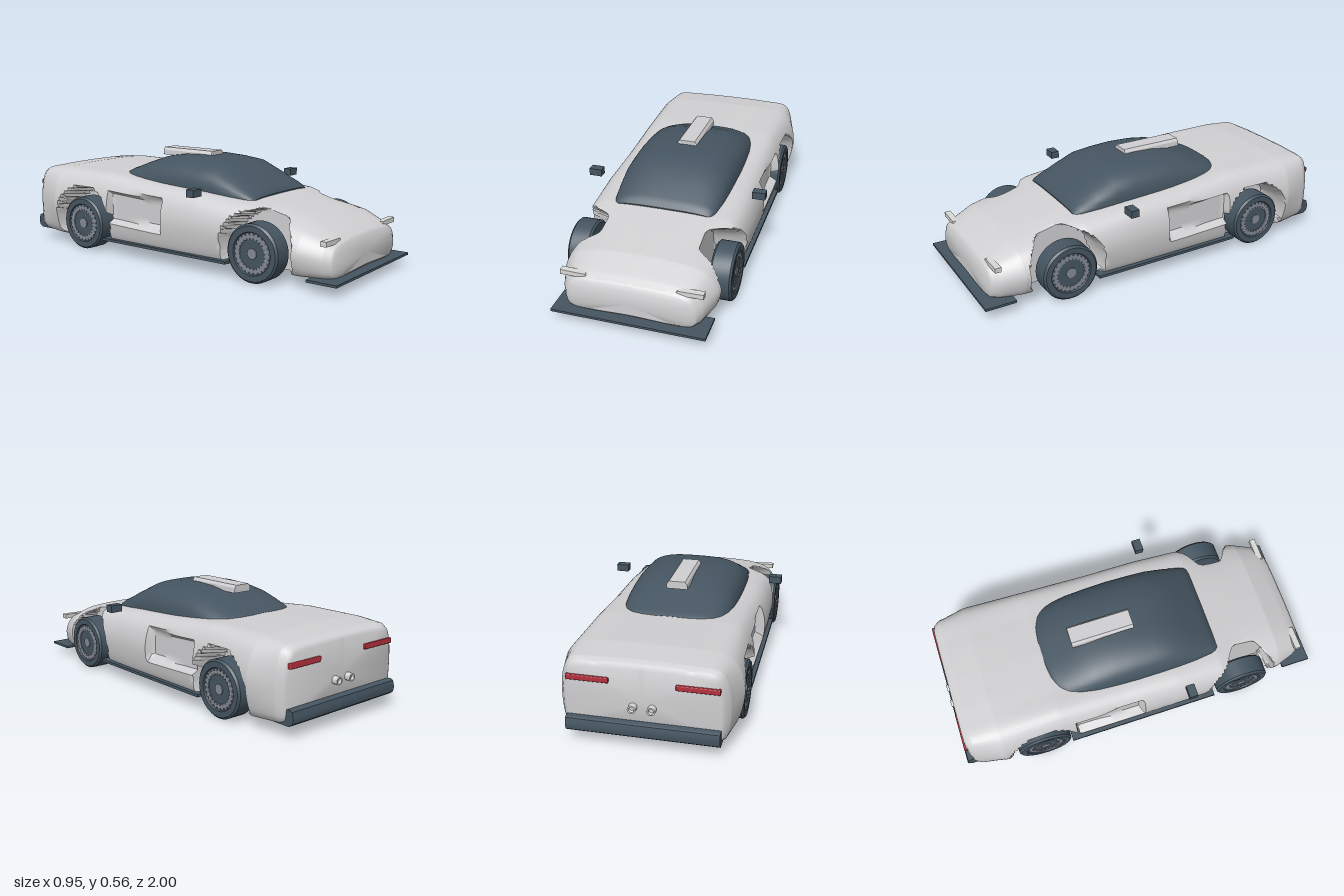
import * as THREE from 'three';
import { toCreasedNormals } from 'three/addons/utils/BufferGeometryUtils.js';
import { RoundedBoxGeometry } from 'three/addons/geometries/RoundedBoxGeometry.js';

const material = (name, color) => Object.assign(new THREE.MeshStandardMaterial({ color }), { name });
const WHEEL_Z = [0.565, -0.57];
const WHEEL_R = 0.145;

// closed skin over rings of equal size, listed front to back, each counter-clockwise from the front
function loft(rings, crease) {
  const n = rings[0].length, pos = [], idx = [];
  rings.forEach(r => r.forEach(p => pos.push(p.x, p.y, p.z)));
  for (let i = 0; i < rings.length - 1; i++) {
    for (let j = 0; j < n; j++) {
      const a = i * n + j, b = i * n + (j + 1) % n;
      idx.push(a, a + n, b, b, a + n, b + n);
    }
  }
  [0, rings.length - 1].forEach((ri, end) => {
    const c = new THREE.Vector3();
    rings[ri].forEach(p => c.addScaledVector(p, 1 / n));
    const ci = pos.length / 3;
    pos.push(c.x, c.y, c.z);
    for (let j = 0; j < n; j++) {
      const a = ri * n + j, b = ri * n + (j + 1) % n;
      if (end) idx.push(ci, b, a); else idx.push(ci, a, b);
    }
  });
  const g = new THREE.BufferGeometry();
  g.setAttribute('position', new THREE.Float32BufferAttribute(pos, 3));
  g.setIndex(idx);
  return toCreasedNormals(g, crease);
}

// linear lookup in rows that begin with a falling z
function rowAt(rows, z) {
  let i = 0;
  while (i < rows.length - 2 && z < rows[i + 1][0]) i++;
  const t = THREE.MathUtils.clamp((rows[i][0] - z) / (rows[i][0] - rows[i + 1][0]), 0, 1);
  return rows[i].map((v, k) => THREE.MathUtils.lerp(v, rows[i + 1][k], t));
}

// z, bottom y, sill half width, widest half width and its y, shoulder x and y, centre top y
const BODY = [
  [0.955, 0.075, 0.28, 0.29, 0.13, 0.23, 0.19, 0.205],
  [0.94, 0.06, 0.31, 0.32, 0.14, 0.25, 0.215, 0.23],
  [0.90, 0.055, 0.33, 0.345, 0.15, 0.25, 0.24, 0.255],
  [0.79, 0.055, 0.36, 0.385, 0.17, 0.25, 0.29, 0.305],
  [0.62, 0.055, 0.37, 0.405, 0.20, 0.28, 0.315, 0.338],
  [0.45, 0.055, 0.385, 0.415, 0.22, 0.335, 0.35, 0.37],
  [0.2, 0.055, 0.39, 0.42, 0.23, 0.345, 0.375, 0.388],
  [-0.1, 0.055, 0.39, 0.42, 0.23, 0.345, 0.39, 0.405],
  [-0.45, 0.055, 0.39, 0.42, 0.24, 0.345, 0.42, 0.432],
  [-0.78, 0.055, 0.395, 0.435, 0.24, 0.35, 0.42, 0.44],
  [-0.92, 0.06, 0.375, 0.395, 0.24, 0.345, 0.41, 0.428],
  [-0.95, 0.065, 0.36, 0.375, 0.24, 0.335, 0.395, 0.415],
  [-0.96, 0.08, 0.345, 0.36, 0.24, 0.32, 0.375, 0.395],
];

function bodyGeometry() {
  const step = THREE.MathUtils.smoothstep, lerp = THREE.MathUtils.lerp;
  const zs = new Set(BODY.map(r => r[0]));
  for (let i = 0; i <= 160; i++) zs.add(0.955 - 1.915 * i / 160);
  const rings = [...zs].sort((a, b) => b - a).map(z => {
    const [, b, wb, wm, ym, sx, sy, t] = rowAt(BODY, z);
    const half = new THREE.CatmullRomCurve3([
      [0, b], [wb - 0.03, b], [wb, b + 0.018], [wm, ym],
      [lerp(sx, wm, 0.62), lerp(ym, sy, 0.72)], [sx, sy], [sx * 0.6, t - 0.004], [0, t],
    ].map(([x, y]) => new THREE.Vector3(x, y, z))).getSpacedPoints(56);
    half.forEach(p => {
      // wheel arches
      WHEEL_Z.forEach(wz => {
        const k = step(Math.hypot(z - wz, p.y - 0.15), 0.183, 0.199);
        p.x = lerp(Math.min(p.x, 0.25), p.x, k);
      });
      // side intake
      const inside = Math.min(step(z, -0.385, -0.37) * (1 - step(z, -0.02, -0.005)),
        step(p.y, 0.17, 0.185) * (1 - step(p.y, 0.325, 0.34)));
      p.x = lerp(p.x, Math.min(p.x, 0.37), inside);
    });
    const mirrored = half.slice(1, -1).reverse().map(p => new THREE.Vector3(-p.x, p.y, z));
    return [...half, ...mirrored];
  });
  return loft(rings, 0.75);
}

// z, half width, top y
const CANOPY = [
  [0.46, 0.245, 0.374], [0.445, 0.256, 0.395], [0.42, 0.265, 0.412], [0.32, 0.278, 0.468], [0.22, 0.285, 0.518],
  [0.12, 0.288, 0.53], [0, 0.29, 0.536], [-0.12, 0.288, 0.531], [-0.22, 0.285, 0.515],
  [-0.3, 0.278, 0.488], [-0.37, 0.268, 0.46], [-0.41, 0.25, 0.447], [-0.435, 0.22, 0.438], [-0.445, 0.19, 0.432],
];

function canopyGeometry() {
  const base = 0.35, n = 48;
  const rings = CANOPY.map(([z, w, t]) => {
    const ring = [];
    for (let i = 0; i <= n; i++) {
      const a = Math.PI * i / n, c = Math.cos(a), s = Math.max(Math.sin(a), 0);
      ring.push(new THREE.Vector3(w * Math.sign(c) * Math.abs(c) ** 0.66, base + (t - base) * s ** 0.66, z));
    }
    return ring;
  });
  return loft(rings, 0.6);
}

// extruded outline, corners given as [x, y]
function prism(points, depth) {
  const shape = new THREE.Shape(points.map(p => new THREE.Vector2(...p)));
  return new THREE.ExtrudeGeometry(shape, { depth, bevelEnabled: false });
}

export function createModel() {
  const car = new THREE.Group();
  car.name = 'sportsCar';
  const paint = material('silver paint', 0xd0d0d2);
  const dark = material('dark slate', 0x455561);
  const rimGrey = material('rim grey', 0x858a94);
  const red = material('tail light red', 0xb5303c);
  const lamp = material('lamp white', 0xd8d8d6);

  const add = (name, geometry, mat, x = 0, y = 0, z = 0, parent = car) => {
    const m = new THREE.Mesh(geometry, mat);
    m.name = name;
    m.position.set(x, y, z);
    parent.add(m);
    return m;
  };

  add('body', bodyGeometry(), paint);
  add('canopy', canopyGeometry(), dark);
  add('frontSplitter', new THREE.BoxGeometry(0.76, 0.012, 0.16), dark, 0, 0.054, 0.92);

  // roof scoop, wider at its foot
  add('roofScoop', prism([[-0.055, 0.515], [0.055, 0.515], [0.053, 0.541], [0.042, 0.555], [-0.042, 0.555], [-0.053, 0.541]], 0.335),
    paint, 0, 0, -0.287);

  // rear bumper, profile in depth and height, swept across the width
  const bumper = prism([[0.87, 0.06], [0.975, 0.06], [0.995, 0.075], [1, 0.1], [0.992, 0.132], [0.98, 0.138], [0.9, 0.138]], 0.72);
  bumper.translate(0, 0, -0.36).rotateY(Math.PI / 2);
  add('rearBumper', toCreasedNormals(bumper, 0.7), dark);

  // tyre section turned about the axle
  const tyre = toCreasedNormals(new THREE.LatheGeometry([
    [0, -0.055], [0.135, -0.055], [WHEEL_R, -0.045], [WHEEL_R, 0.045], [0.135, 0.055],
    [0.106, 0.055], [0.102, 0.046], [0, 0.046],
  ].map(p => new THREE.Vector2(...p)), 48), 0.5);
  const rimRing = new THREE.RingGeometry(0.078, 0.092, 48).rotateX(-Math.PI / 2);
  const hub = new THREE.CylinderGeometry(0.026, 0.026, 0.006, 24);
  const tooth = new THREE.BoxGeometry(0.03, 0.004, 0.014);

  for (const side of [1, -1]) {
    const label = side > 0 ? 'left' : 'right';
    WHEEL_Z.forEach((z, i) => {
      const wheel = new THREE.Group();
      wheel.name = label + (i ? 'Rear' : 'Front') + 'Wheel';
      wheel.position.set(side * 0.364, WHEEL_R, z);
      wheel.rotation.z = -side * Math.PI / 2;
      add('tyre', tyre, dark, 0, 0, 0, wheel);
      add('rimRing', rimRing, rimGrey, 0, 0.0505, 0, wheel);
      add('hub', hub, rimGrey, 0, 0.048, 0, wheel);
      for (let k = 0; k < 24; k++) {
        const a = k * Math.PI / 12;
        add('rimTooth', tooth, rimGrey, 0.086 * Math.cos(a), 0.048, -0.086 * Math.sin(a), wheel).rotation.y = a;
      }
      car.add(wheel);
    });

    add(label + 'SideSkirt', new THREE.BoxGeometry(0.06, 0.014, 0.83), dark, side * 0.388, 0.075, -0.005);
    add(label + 'Mirror', new THREE.BoxGeometry(0.067, 0.038, 0.045), dark, side * 0.4415, 0.406, 0.238);
    add(label + 'TailLight', new RoundedBoxGeometry(0.2, 0.026, 0.03, 2, 0.004), red, side * 0.255, 0.333, -0.957);

    // headlight, tapered toward the middle
    const corners = [[0.22, 0.231], [0.25, 0.218], [0.35, 0.218], [0.35, 0.243], [0.225, 0.24]];
    const outline = side > 0 ? corners : corners.map(([x, y]) => [-x, y]).reverse();
    add(label + 'Headlight', prism(outline, 0.032), lamp, 0, 0, 0.895);

    // exhaust pipe with a recessed mouth
    const pipe = new THREE.LatheGeometry([[0.02, 0], [0.02, 0.05], [0.013, 0.05], [0.011, 0.036], [0, 0.036]]
      .map(p => new THREE.Vector2(...p)), 20);
    add(label + 'Exhaust', toCreasedNormals(pipe, 0.5), lamp, side * 0.045, 0.21, -0.94).rotation.x = -Math.PI / 2;
  }
  return car;
}
